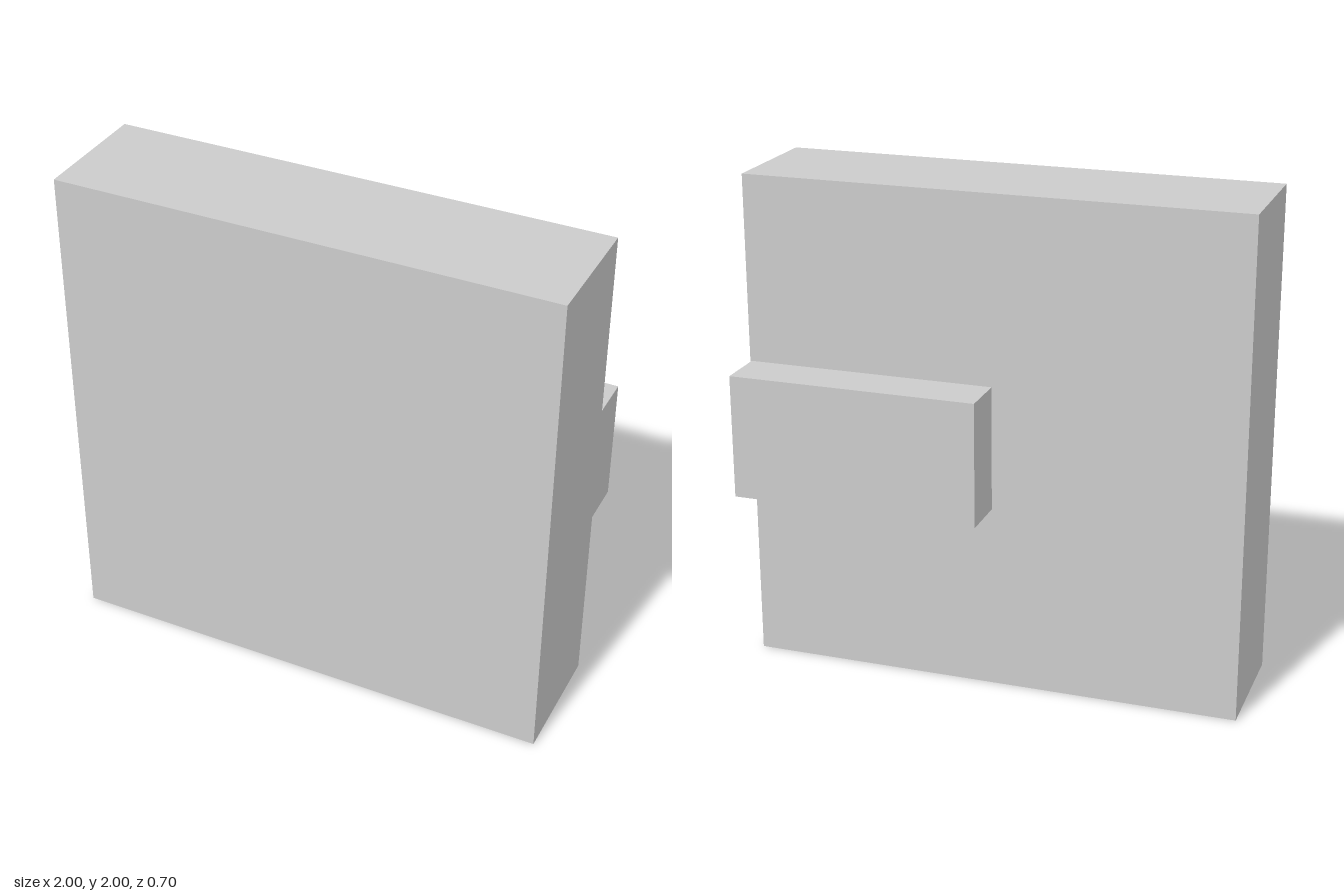
import * as THREE from 'three';

export function createModel() {
  const model = new THREE.Group();
  const material = new THREE.MeshStandardMaterial({ color: 0xcccccc, flatShading: true });

  const addBox = (name, size, position) => {
    const mesh = new THREE.Mesh(new THREE.BoxGeometry(...size), material);
    mesh.name = name;
    mesh.position.set(...position);
    model.add(mesh);
  };

  // Square upright slab
  addBox('slab', [2, 2, 0.5], [0, 1, 0.1]);
  // Bar on the back, just short of the slab's left edge
  addBox('backBar', [1, 0.5, 0.2], [0.494, 1, -0.25]);

  return model;
}
